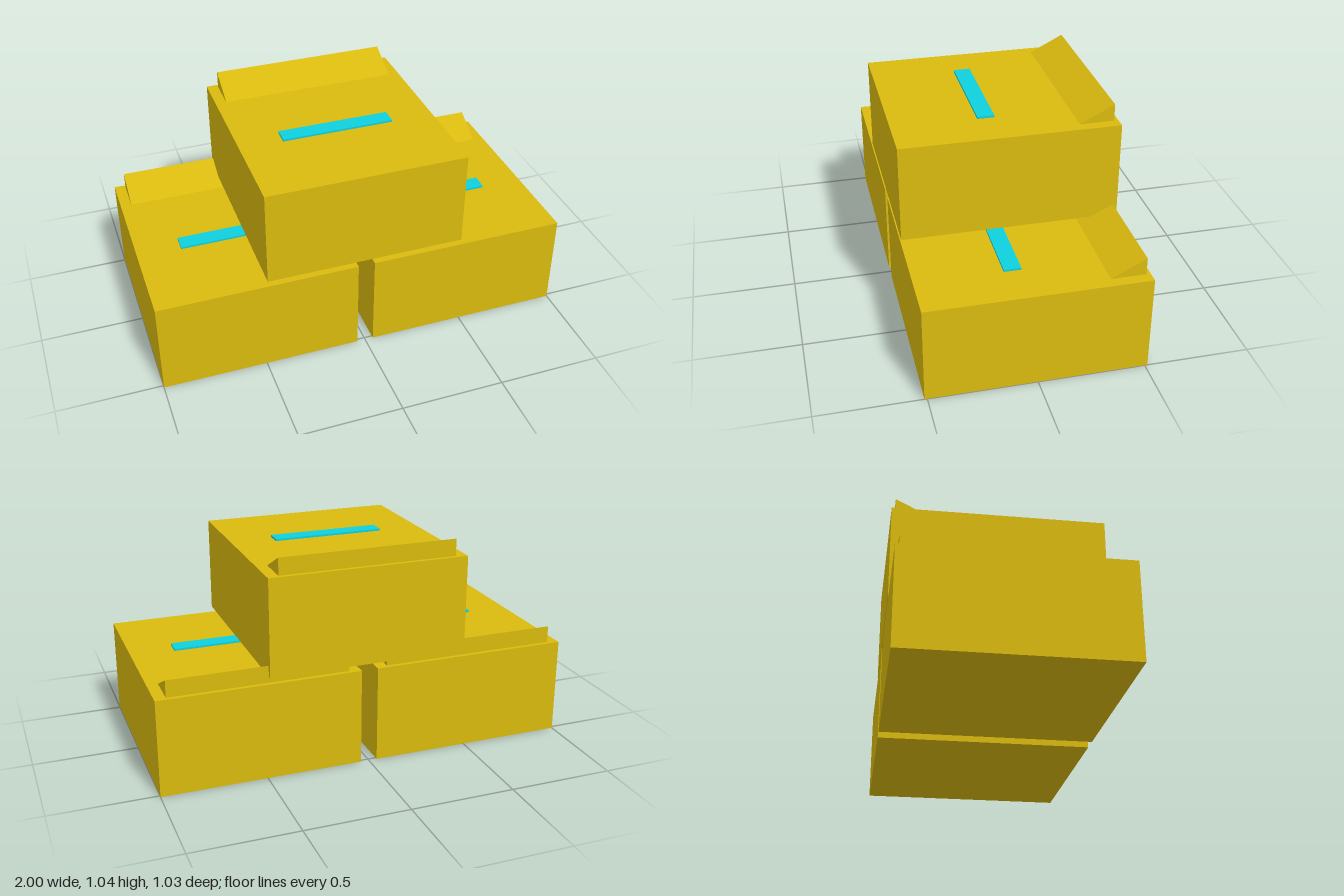
import * as THREE from 'three';

const W = 0.96, H = 0.466, D = 1.026;

export function createModel() {
  const yellow = new THREE.MeshStandardMaterial({ color: 0xd9b90e });
  yellow.name = 'mustardYellow';
  const cyan = new THREE.MeshStandardMaterial({ color: 0x0fd0de });
  cyan.name = 'brightCyan';

  const bodyGeometry = new THREE.BoxGeometry(W, H, D);
  const stripGeometry = new THREE.BoxGeometry(0.54, 0.0098, 0.08);

  // Wedge profile: drawn as (-z, y), extruded, then turned to run along x
  const wedgeLength = 0.854;
  const profile = new THREE.Shape([
    new THREE.Vector2(0.33, 0),
    new THREE.Vector2(0.493, 0),
    new THREE.Vector2(0.493, 0.082),
  ]);
  const wedgeGeometry = new THREE.ExtrudeGeometry(profile, { depth: wedgeLength, bevelEnabled: false });
  wedgeGeometry.translate(0, 0, -wedgeLength / 2).rotateY(Math.PI / 2);

  // One crate: block, sloped rear ridge and thin light strip on top
  function makeCrate(name, x, y) {
    const crate = new THREE.Group();
    crate.name = name;
    const add = (part, geometry, material, py, pz) => {
      const mesh = new THREE.Mesh(geometry, material);
      mesh.name = part;
      mesh.position.set(0, py, pz);
      crate.add(mesh);
    };
    add('crateBody', bodyGeometry, yellow, H / 2, 0);
    add('rearWedge', wedgeGeometry, yellow, H, 0);
    add('lightStrip', stripGeometry, cyan, H + 0.0049, 0.07);
    crate.position.set(x, y, 0);
    return crate;
  }

  const model = new THREE.Group();
  model.name = 'crateStack';
  model.add(
    makeCrate('lowerLeftCrate', 0.52, 0),
    makeCrate('lowerRightCrate', -0.52, 0),
    makeCrate('upperCrate', 0, 0.495),
  );
  return model;
}
